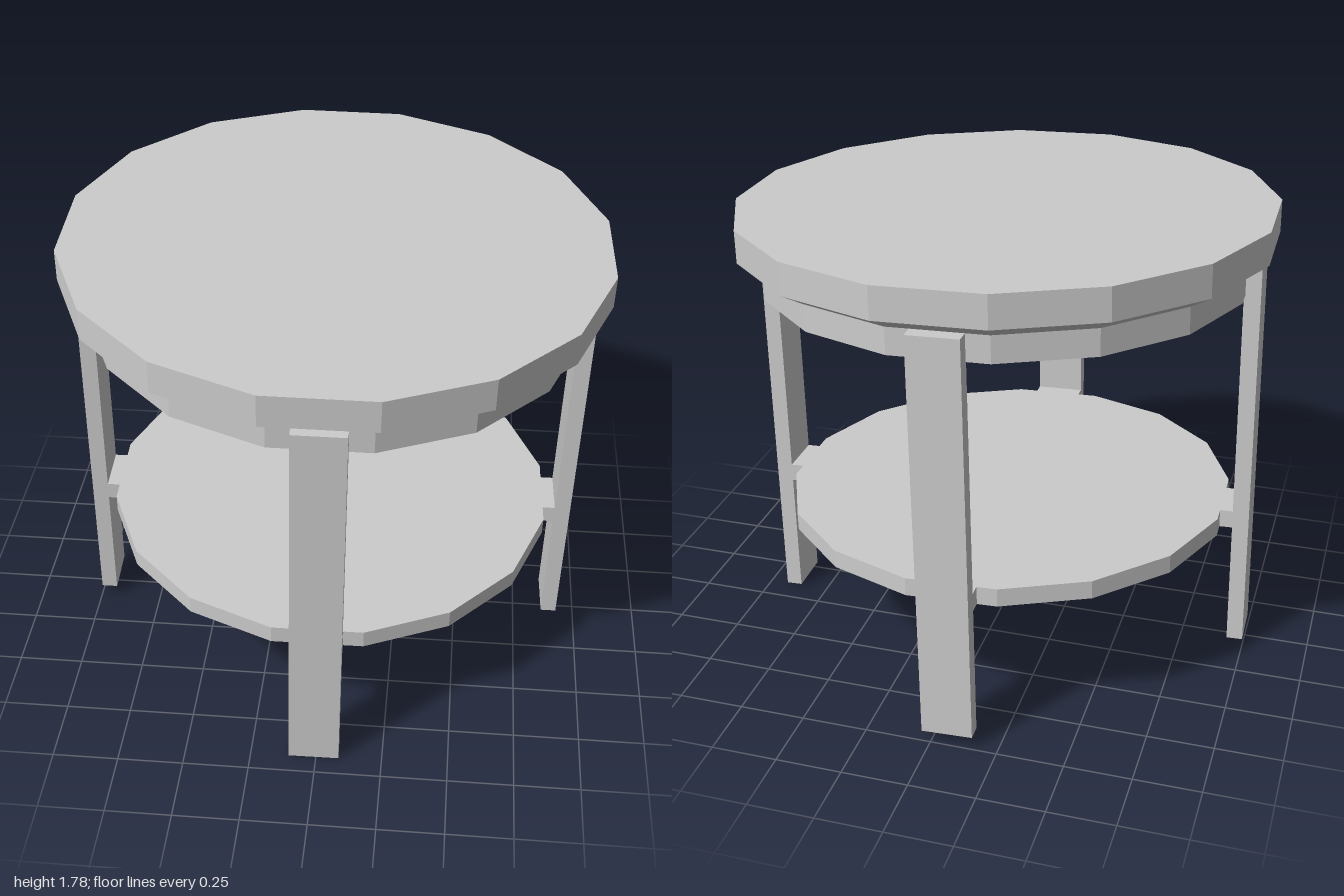
import * as THREE from 'three';

const material = new THREE.MeshStandardMaterial({ color: 0xcccccc, flatShading: true });

// Solid of revolution with 16 flat sides, a side facing each leg
function disc(name, profile) {
  const points = profile.map(([r, y]) => new THREE.Vector2(r, y));
  const mesh = new THREE.Mesh(new THREE.LatheGeometry(points, 16, Math.PI / 16), material);
  mesh.name = name;
  return mesh;
}

function box(name, size, position) {
  const mesh = new THREE.Mesh(new THREE.BoxGeometry(...size), material);
  mesh.name = name;
  mesh.position.set(...position);
  return mesh;
}

export function createModel() {
  const table = new THREE.Group();
  table.name = 'roundTable';

  // Table top: straight rim, chamfer below it, then the apron
  table.add(disc('tableTop', [
    [0, 1.548], [0.925, 1.548], [1.015, 1.6], [1.015, 1.722], [0, 1.722],
  ]));
  table.add(disc('apron', [
    [0, 1.447], [0.925, 1.447], [0.925, 1.548],
  ]));

  // Lower shelf
  table.add(disc('shelf', [
    [0, 0.497], [0.87, 0.497], [0.87, 0.567], [0, 0.567],
  ]));

  // Four plank legs, each tied to the shelf by a short block
  ['front', 'left', 'back', 'right'].forEach((side, i) => {
    const group = new THREE.Group();
    group.name = side + 'Leg';
    group.add(box('legPlank', [0.19, 1.548, 0.062], [0, 0.774, 0.933]));
    group.add(box('shelfBlock', [0.19, 0.07, 0.08], [0, 0.532, 0.864]));
    group.rotation.y = i * Math.PI / 2;
    table.add(group);
  });

  // The whole table is turned a little and leans slightly forward and to its left
  const up = new THREE.Vector3(0, 1, 0);
  const lean = new THREE.Vector3(0.0225, 1, 0.0225).normalize();
  table.quaternion.setFromUnitVectors(up, lean)
    .multiply(new THREE.Quaternion().setFromAxisAngle(up, 0.028));
  table.position.set(-0.036, 0.024, -0.036);

  const model = new THREE.Group();
  model.name = 'model';
  model.add(table);
  return model;
}
